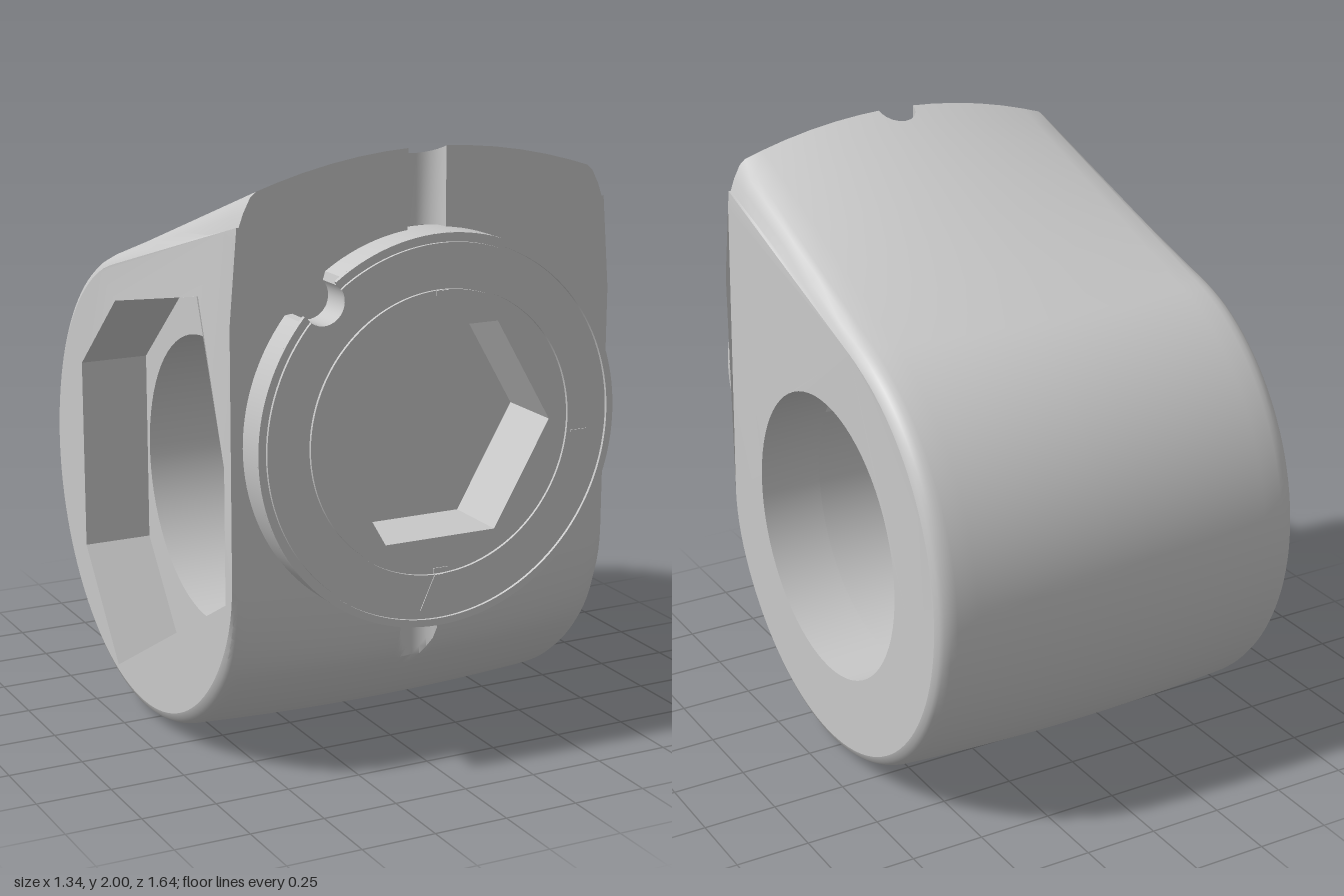
import * as THREE from 'three';
import { toCreasedNormals } from 'three/addons/utils/BufferGeometryUtils.js';

const CY = 0.81, CZ = -0.01;      // axis of the bore
const FRONT = 0.71, HALF = 0.67;  // front plane and half width
const DISC_Y = 1.12;              // centre of the front disc
const Y0 = 0.69, Y1 = 1.745;      // limits of the flat front plate

// The sides lean inward towards the top
const lean = (y) => 1 - 0.05 * THREE.MathUtils.clamp((y - 1.5) / 0.4, 0, 1);

// Barrel curve with a small fillet at each side
function inset(x) {
  const a = Math.abs(x), f = Math.max(0, a - 0.61) / 0.06;
  return 0.02 * (a / 0.62) ** 2 + 0.038 * (1 - Math.sqrt(Math.max(0, 1 - f * f)));
}

// Teardrop section [z, y] at a given x, with the centre groove cut in the front
function section(x) {
  const d = inset(x), R = 0.81 - d, tipY = Math.max(1.8, 2 - 5 * d);
  const zf = FRONT - Math.sqrt(Math.max(0, 0.07 ** 2 - x * x));
  const pz = FRONT - CZ, py = tipY - CY;
  const end = Math.atan2(py, pz) + Math.acos(R / Math.hypot(pz, py));
  const start = -0.63;
  const sz = CZ + R * Math.cos(start), sy = CY + R * Math.sin(start);
  const bendY = sy - (FRONT - sz) / Math.tan(start);
  const pts = [];
  // soft bend from the flat front into the round underside
  for (let i = 0; i < 8; i++) {
    const t = i / 8, a = (1 - t) ** 2, b = 2 * t * (1 - t), c = t * t;
    pts.push([Math.min(zf, (a + b) * FRONT + c * sz), a * Y0 + b * bendY + c * sy]);
  }
  // under and round the back to the tangent point
  const N = 72;
  for (let i = 0; i <= N; i++) {
    const a = start + (end - 2 * Math.PI - start) * i / N;
    pts.push([Math.min(zf, CZ + R * Math.cos(a)), CY + R * Math.sin(a)]);
  }
  // straight slope up to the front tip
  const [lz, ly] = pts[pts.length - 1];
  for (const z of [-0.1, 0.1, 0.3, 0.5, 0.62, zf]) {
    pts.push([z, ly + (tipY - ly) * (z - lz) / (FRONT - lz)]);
  }
  pts.push([zf, Y1]);
  return pts;
}

function shellGeometry() {
  const half = [0, 0.025, 0.045, 0.06, 0.068, 0.07, 0.15, 0.25, 0.35, 0.45, 0.54, 0.61, 0.63, 0.65, 0.662, HALF];
  const xs = [...half.slice(1).reverse().map((x) => -x), ...half];
  const pos = [], idx = [];
  xs.forEach((x, i) => {
    const ring = section(x), n = ring.length;
    ring.forEach(([z, y]) => pos.push(x * lean(y), y, z));
    if (i === 0) return;
    for (let j = 0; j < n - 1; j++) {
      const a = (i - 1) * n + j, b = a + 1, d = i * n + j, c = d + 1;
      idx.push(a, b, d, b, c, d);
    }
  });
  const g = new THREE.BufferGeometry();
  g.setAttribute('position', new THREE.Float32BufferAttribute(pos, 3));
  g.setIndex(idx);
  return toCreasedNormals(g, 0.6);
}

const toPoints = (list, s = 1) => list.map(([u, v]) => new THREE.Vector2(s * u, v));
const circlePath = (r, x = 0, y = 0) => new THREE.Path().absarc(x, y, r, 0, Math.PI * 2, true);
const hexPoints = (r, y = 0) => Array.from({ length: 6 }, (_, k) =>
  new THREE.Vector2(r * Math.cos(k * Math.PI / 3), y + r * Math.sin(k * Math.PI / 3)));

// Outline [z, y] of the side pocket, kept clear of the bore
const POCKET = [[-0.24, 0.115], [0.66, 0.61], [0.66, 1.05], [0.47, 1.55], [-0.2, 1.41], [-0.52, 1.13], [-0.52, 0.47]];

// Bore outline [z, y], with an optional square recess towards the upper front
const RECESS = [CZ + 0.42, CY + 0.64];
function boreOutline(recess) {
  const pts = [];
  for (let i = 0; i < 72; i++) {
    const a = i / 72 * Math.PI * 2;
    if (recess && i > 6 && i < 15) {
      if (i === 7) pts.push(RECESS);
      continue;
    }
    pts.push([CZ + 0.49 * Math.cos(a), CY + 0.49 * Math.sin(a)]);
  }
  return pts;
}

// Open tube along x from a closed outline [z, y]
function tubeGeometry(outline, x0, x1) {
  const n = outline.length, pos = [], idx = [];
  for (const [z, y] of outline) pos.push(x0, y, z, x1, y, z);
  for (let i = 0; i < n; i++) {
    const a = 2 * i, b = 2 * ((i + 1) % n);
    idx.push(a, a + 1, b, a + 1, b + 1, b);
  }
  const g = new THREE.BufferGeometry();
  g.setAttribute('position', new THREE.Float32BufferAttribute(pos, 3));
  g.setIndex(idx);
  return toCreasedNormals(g, 0.35);
}

// Flat wall at x with a hole; s is the side it faces
function wallGeometry(outline, hole, x, s) {
  const shape = new THREE.Shape(toPoints(outline, -s));
  shape.holes.push(new THREE.Path(toPoints(hole, -s)));
  return new THREE.ShapeGeometry(shape).rotateY(s * Math.PI / 2).translate(x, 0, 0);
}

// Circle with a round bite out of its rim at the upper left
const BITE = { x: -0.41, y: 0.45, r: 0.07 };
const BITE_ANGLE = Math.atan2(BITE.y, BITE.x);
function bitten(r) {
  const pts = [];
  for (let i = 0; i < 128; i++) {
    const a = i / 128 * Math.PI * 2;
    const p = new THREE.Vector2(r * Math.cos(a), r * Math.sin(a));
    if (Math.hypot(p.x - BITE.x, p.y - BITE.y) > BITE.r) pts.push(p);
  }
  const at = pts.findIndex((p) => p.y >= 0 && Math.atan2(p.y, p.x) > BITE_ANGLE);
  const inner = [];
  for (let i = 0; i <= 16; i++) {
    const a = BITE_ANGLE - Math.PI * 0.5 - Math.PI * i / 16;
    const p = new THREE.Vector2(BITE.x + BITE.r * Math.cos(a), BITE.y + BITE.r * Math.sin(a));
    if (p.length() < r) inner.push(p);
  }
  pts.splice(at, 0, ...inner);
  return new THREE.Shape(pts);
}

export function createModel() {
  const group = new THREE.Group();
  const grey = new THREE.MeshStandardMaterial({ color: 0xc8c8c8, side: THREE.DoubleSide });
  grey.name = 'grey';
  const add = (name, geometry) => {
    const m = new THREE.Mesh(geometry, grey);
    m.name = name;
    group.add(m);
    return m;
  };
  const slab = (name, shape, z0, z1) => {
    const g = new THREE.ExtrudeGeometry(shape, { depth: z1 - z0, bevelEnabled: false, curveSegments: 64 });
    add(name, toCreasedNormals(g, 0.5)).position.set(0, DISC_Y, z0);
  };

  // Body shell
  add('bodyShell', shellGeometry());

  // Flat front plate behind the disc
  const edge = [Y0, 1.5, Y1].map((y) => [HALF * lean(y), y]);
  const plate = new THREE.Shape([...toPoints(edge), ...toPoints(edge, -1).reverse()]);
  plate.holes.push(new THREE.Path(hexPoints(0.4, DISC_Y)));
  add('frontPlate', new THREE.ShapeGeometry(plate)).position.z = FRONT;

  // Side faces: round opening on one side, pocket on the other
  for (const s of [1, -1]) {
    const g = wallGeometry(section(HALF), s > 0 ? boreOutline(false) : POCKET, s * HALF, s);
    const p = g.attributes.position;
    for (let i = 0; i < p.count; i++) p.setX(i, p.getX(i) * lean(p.getY(i)));
    g.computeVertexNormals();
    add(s > 0 ? 'leftSide' : 'rightSide', g);
  }

  // Round mouth, recessed bore and the shallow side pocket
  const MOUTH = 0.45, STEP = -0.43;
  add('boreMouth', tubeGeometry(boreOutline(false), MOUTH, HALF));
  add('bore', tubeGeometry(boreOutline(true), STEP, MOUTH));
  const recessEnd = new THREE.Shape(toPoints([...boreOutline(false).slice(6, 16), RECESS]));
  add('recessEnd', new THREE.ShapeGeometry(recessEnd).rotateY(-Math.PI / 2).translate(MOUTH, 0, 0));
  add('sidePocket', tubeGeometry(POCKET, -HALF, STEP));
  add('pocketFloor', wallGeometry(POCKET, boreOutline(true), STEP, -1));

  // Front disc with hexagonal socket
  const withSocket = (shape) => {
    shape.holes.push(new THREE.Path(hexPoints(0.39)));
    return shape;
  };
  slab('discBase', withSocket(bitten(0.63)), 0.67, 0.81);
  slab('socketWall', withSocket(new THREE.Shape(hexPoints(0.41))), 0.58, 0.7);
  slab('socketFloor', new THREE.Shape(hexPoints(0.41)), 0.57, 0.585);

  // Raised faces separated by fine grooves
  const gap = 0.113, from = BITE_ANGLE + gap, to = BITE_ANGLE - gap + Math.PI * 2;
  const rim = new THREE.Shape();
  rim.absarc(0, 0, 0.63, from, to, false);
  rim.absarc(0, 0, 0.607, to, from, true);
  slab('discRim', rim, 0.805, 0.82);
  const face = bitten(0.6);
  face.holes.push(circlePath(0.46));
  slab('discFace', face, 0.805, 0.82);
  slab('discInsert', withSocket(new THREE.Shape().absarc(0, 0, 0.454, 0, Math.PI * 2, false)), 0.805, 0.82);

  // Small index marks
  slab('pointerMark', new THREE.Shape(toPoints([[-0.07, -0.57], [-0.02, -0.46], [0.01, -0.46]])), 0.815, 0.823);
  for (const [x, y, w, h] of [[0, 0.445, 0.05, 0.015], [0, -0.445, 0.05, 0.015], [0.5, -0.05, 0.06, 0.006]]) {
    add('indexMark', new THREE.BoxGeometry(w, h, 0.008)).position.set(x, DISC_Y + y, 0.819);
  }
  return group;
}
